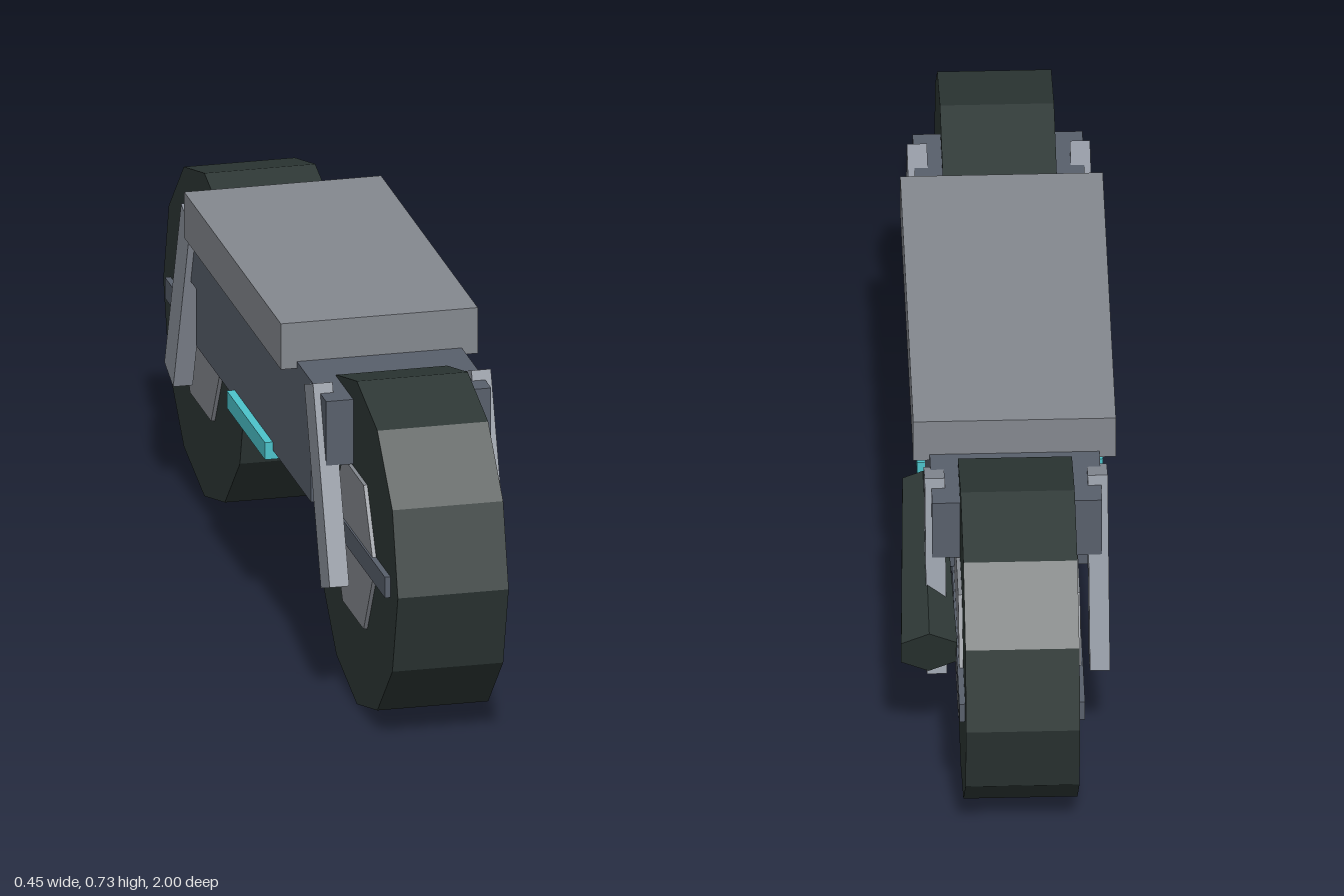
import * as THREE from 'three';

const material = (name, color) => {
  const m = new THREE.MeshStandardMaterial({ color });
  m.name = name;
  return m;
};

export function createModel() {
  const rubber = material('dark rubber', 0x2d3735);
  const frame = material('slate frame', 0x585f6b);
  const metal = material('light metal', 0x8d939d);
  const grey = material('seat grey', 0x84888f);
  const glow = material('cyan glow', 0x4cc3cb);

  const model = new THREE.Group();
  model.name = 'motorbike';
  const CX = -0.017; // the bike's own centre line; the exhaust sits off to one side

  const add = (name, geometry, mat, x, y, z, tilt = 0) => {
    const mesh = new THREE.Mesh(geometry, mat);
    mesh.name = name;
    mesh.position.set(x, y, z);
    mesh.rotation.x = tilt;
    model.add(mesh);
    return mesh;
  };
  const box = (w, h, d) => new THREE.BoxGeometry(w, h, d);
  // faceted disc lying across the bike
  const disc = (r, width, sides) =>
    new THREE.CylinderGeometry(r, r, width, sides).rotateZ(Math.PI / 2).toNonIndexed();
  const faceted = (g) => { g.computeVertexNormals(); return g; };

  // body: stepped side profile extruded across the width
  const profile = new THREE.Shape([
    [-0.62, 0.65], [-0.62, 0.51], [-0.49, 0.51], [-0.49, 0.387],
    [0.49, 0.387], [0.49, 0.51], [0.62, 0.51], [0.62, 0.65],
  ].map(([z, y]) => new THREE.Vector2(z, y)));
  const bodyGeo = new THREE.ExtrudeGeometry(profile, { depth: 0.347, bevelEnabled: false })
    .translate(0, 0, -0.1735).rotateY(Math.PI / 2);
  add('body', bodyGeo, frame, CX, 0, 0);

  // seat slab and glowing underside plate
  add('seat', box(0.414, 0.099, 0.825), grey, CX, 0.685, -0.043);
  add('glowPlate', box(0.38, 0.037, 0.325), glow, CX, 0.386, 0.002);

  // wheels, hubs, axle bars and fork legs, front and rear
  for (const [end, s] of [['front', 1], ['rear', -1]]) {
    add(end + 'Wheel', faceted(disc(0.35, 0.233, 12)), rubber, CX, 0.35, s * 0.65);
    add(end + 'Hub', faceted(disc(0.18, 0.249, 6)), grey, CX, 0.35, s * 0.65);
    add(end + 'AxleBar', box(0.257, 0.045, 0.575), frame, CX, 0.353, s * 0.65);
    for (const [side, k] of [['Left', 1], ['Right', -1]]) {
      add(end + 'Fork' + side, box(0.041, 0.418, 0.08), metal,
        CX + k * 0.1665, 0.46, s * 0.596, -s * 0.349);
    }
  }

  // tapered exhaust, wider at the back
  const pipe = new THREE.CylinderGeometry(0.048, 0.066, 0.418, 6).rotateX(Math.PI / 2).toNonIndexed();
  add('exhaust', faceted(pipe), rubber, 0.167, 0.424, -0.542, -0.311);

  return model;
}
